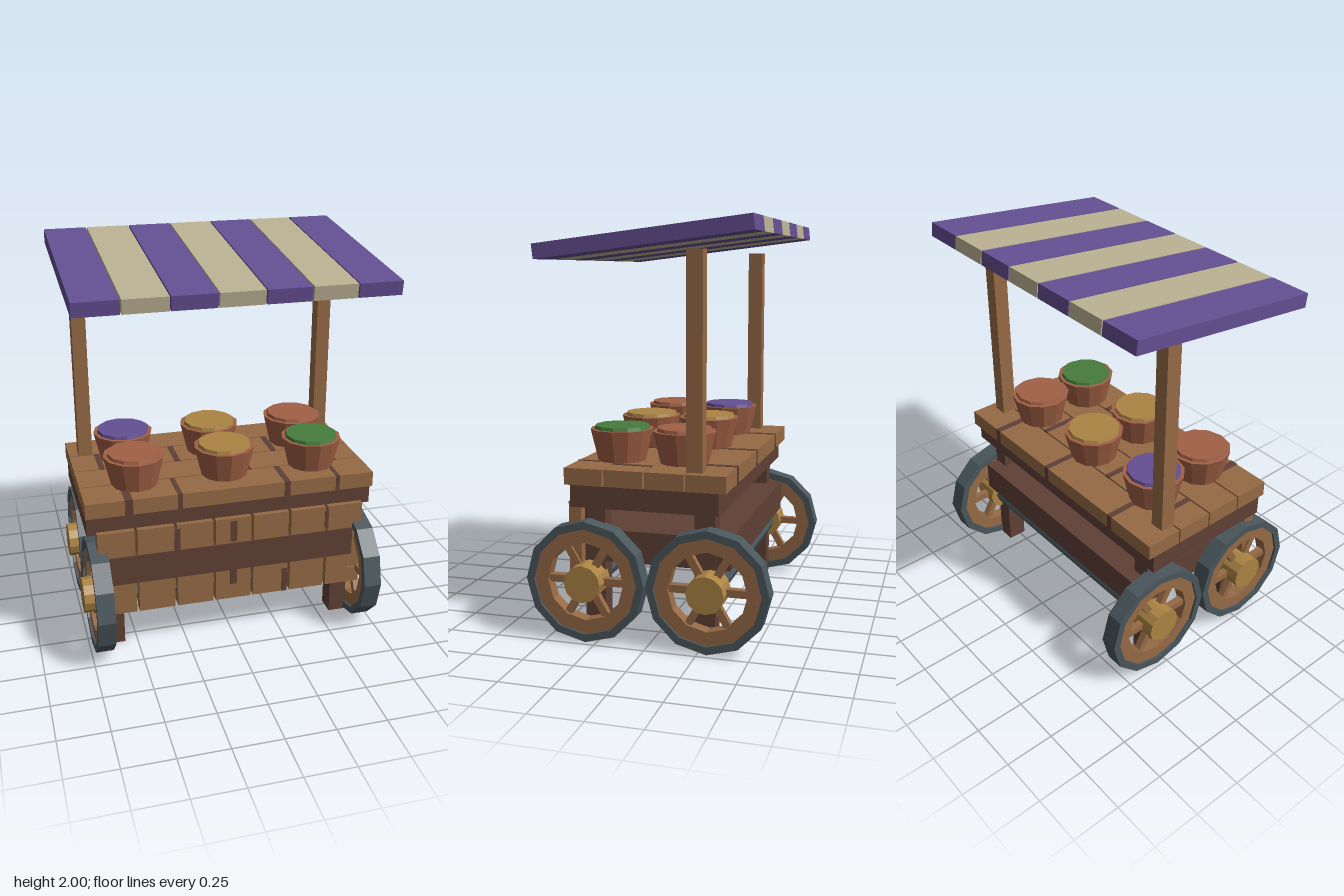
import * as THREE from 'three';

const mat = (name, color) => {
  const m = new THREE.MeshStandardMaterial({ color });
  m.name = name;
  return m;
};

export function createModel() {
  const purple = mat('purple', 0x644f92);
  const cream = mat('cream', 0xbbb193);
  const wood = mat('wood', 0x966a45);
  const dark = mat('dark wood', 0x5f4035);
  const metal = mat('dark metal', 0x4a575d);
  const gold = mat('gold', 0xac8444);
  const clay = mat('terracotta', 0xa06045);
  const green = mat('green', 0x467c3c);

  const cart = new THREE.Group();
  cart.name = 'marketCart';

  const add = (parent, name, geo, material, x = 0, y = 0, z = 0) => {
    const m = new THREE.Mesh(geo, material);
    m.name = name;
    m.position.set(x, y, z);
    parent.add(m);
    return m;
  };
  // box given by its limits on each axis
  const box = (parent, name, material, x0, x1, y0, y1, z0, z1) =>
    add(parent, name, new THREE.BoxGeometry(x1 - x0, y1 - y0, z1 - z0), material,
      (x0 + x1) / 2, (y0 + y1) / 2, (z0 + z1) / 2);
  const faceted = (geo) => {
    const g = geo.toNonIndexed();
    g.computeVertexNormals();
    return g;
  };

  // sloping striped canopy
  const canopy = new THREE.Group();
  canopy.name = 'canopy';
  canopy.position.y = 1.905;
  canopy.rotation.x = 0.1175;
  for (let i = 0; i < 7; i++) {
    add(canopy, 'canopyStripe', new THREE.BoxGeometry(0.215, 0.07, 1.03),
      i % 2 ? cream : purple, (i - 3) * 0.2215);
  }
  cart.add(canopy);

  // counter boards with dark grain bands
  const bands = [
    [[-0.53, 0.04], [-0.275, 0.025], [0.28, 0.03], [0.55, 0.02]],
    [[-0.4, 0.03], [0.13, 0.035], [0.6, 0.025]],
    [[-0.6, 0.03], [-0.2, 0.03], [0.33, 0.03]],
    [[-0.45, 0.03], [0.06, 0.03], [0.5, 0.035]],
  ];
  bands.forEach((list, i) => {
    const z = 0.295 - i * 0.1965;
    box(cart, 'counterBoard', wood, -0.745, 0.742, 0.77, 0.85, z - 0.094, z + 0.094);
    for (const [x, w] of list) {
      box(cart, 'grainBand', dark, x - w / 2, x + w / 2, 0.771, 0.852, z - 0.0955, z + 0.0965);
    }
  });

  // frame under the counter and the lower body
  box(cart, 'counterFrame', dark, -0.74, 0.74, 0.665, 0.77, -0.355, 0.36);
  box(cart, 'lowerBody', dark, -0.645, 0.645, 0.385, 0.54, -0.39, 0.392);

  // front fence planks and their knots
  for (let i = -3; i <= 3; i++) {
    box(cart, 'frontPlank', wood, i * 0.2 - 0.093, i * 0.2 + 0.093, 0.215, 0.68, 0.325, 0.387);
  }
  for (const [x, y0, y1, w] of [[-0.292, 0.54, 0.66, 0.03], [0, 0.55, 0.665, 0.035],
    [0, 0.3, 0.385, 0.035], [0.277, 0.215, 0.35, 0.03], [0.5, 0.56, 0.66, 0.02]]) {
    box(cart, 'plankKnot', dark, x - w / 2, x + w / 2, y0, y1, 0.382, 0.39);
  }

  // wheel parts, built around the x axis
  const ring = (ro, ri, depth) => {
    const pts = (r) => Array.from({ length: 12 }, (_, i) =>
      new THREE.Vector2(r * Math.cos(i * Math.PI / 6), r * Math.sin(i * Math.PI / 6)));
    const shape = new THREE.Shape(pts(ro));
    shape.holes.push(new THREE.Path(pts(ri).reverse()));
    const g = new THREE.ExtrudeGeometry(shape, { depth, bevelEnabled: false });
    return g.translate(0, 0, -depth / 2).rotateY(Math.PI / 2);
  };
  const tyreGeo = ring(0.295, 0.258, 0.09);
  const rimGeo = ring(0.26, 0.19, 0.065);
  const spokeGeo = new THREE.BoxGeometry(0.035, 0.036, 0.15).translate(0, 0, 0.13);
  const hubGeo = faceted(new THREE.CylinderGeometry(0.09, 0.09, 0.14, 12).rotateZ(Math.PI / 2));
  const axleGeo = faceted(new THREE.CylinderGeometry(0.055, 0.055, 1.3, 8).rotateZ(Math.PI / 2));

  for (const sz of [-1, 1]) {
    add(cart, 'axle', axleGeo, metal, 0, 0.3, sz * 0.298);
    for (const sx of [-1, 1]) {
      const wheel = new THREE.Group();
      wheel.name = 'wheel';
      wheel.position.set(sx * 0.69, 0.3, sz * 0.298);
      add(wheel, 'tyre', tyreGeo, metal);
      add(wheel, 'woodenRim', rimGeo, wood);
      for (let i = 0; i < 6; i++) {
        add(wheel, 'spoke', spokeGeo, wood).rotation.x = i * Math.PI / 3;
      }
      add(wheel, 'hub', hubGeo, gold, sx * 0.01);
      cart.add(wheel);
      // corner leg
      add(cart, 'leg', new THREE.BoxGeometry(0.09, 0.68, 0.1), dark, sx * 0.61, 0.34, sz * 0.27);
    }
  }

  // canopy posts
  for (const sx of [-1, 1]) {
    box(cart, 'post', wood, sx * 0.659 - 0.036, sx * 0.659 + 0.036, 0.78, 1.855, -0.268, -0.19);
  }

  // tapered baskets with coloured produce
  const tubGeo = faceted(new THREE.CylinderGeometry(0.155, 0.118, 0.155, 12));
  const fillGeo = faceted(new THREE.CylinderGeometry(0.132, 0.14, 0.03, 12));
  [[clay, gold, green], [purple, gold, clay]].forEach((row, r) => row.forEach((fill, c) => {
    const x = (c - 1) * 0.466;
    const z = r ? -0.12 : 0.195;
    add(cart, 'basket', tubGeo, clay, x, 0.9275, z);
    add(cart, 'produce', fillGeo, fill, x, 1.006, z);
  }));

  return cart;
}
